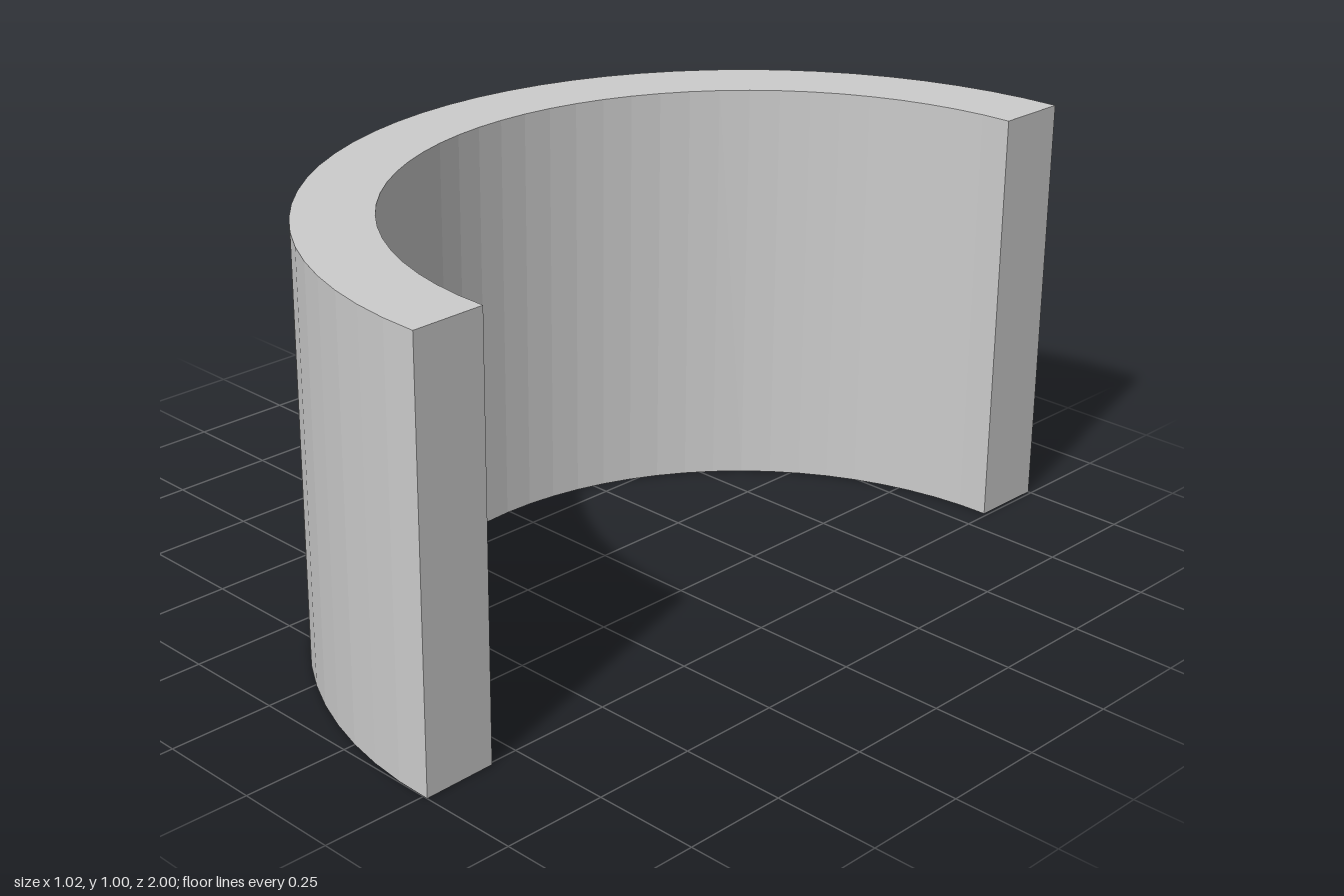
import * as THREE from 'three';

const OUTER = 1, INNER = 0.822, HEIGHT = 1.005, CENTRE_X = 0.488;
const START = Math.PI / 2 - 0.004; // back end of the arc
const END = Math.PI * 1.5 + 0.023; // front end of the arc

export function createModel() {
  const group = new THREE.Group();

  // Half-ring cross-section, opening towards +x
  const section = new THREE.Shape();
  section.absarc(0, 0, OUTER, START, END, false);
  section.absarc(0, 0, INNER, END, START, true);
  section.closePath();

  // Extruded upwards, with faceted curved walls
  const geometry = new THREE.ExtrudeGeometry(section, {
    depth: HEIGHT, bevelEnabled: false, curveSegments: 18,
  });
  geometry.rotateX(-Math.PI / 2);
  geometry.translate(CENTRE_X, 0, 0);

  const shell = new THREE.Mesh(
    geometry,
    new THREE.MeshStandardMaterial({ color: 0xcccccc, flatShading: true })
  );
  shell.name = 'halfRingShell';
  group.add(shell);
  return group;
}
